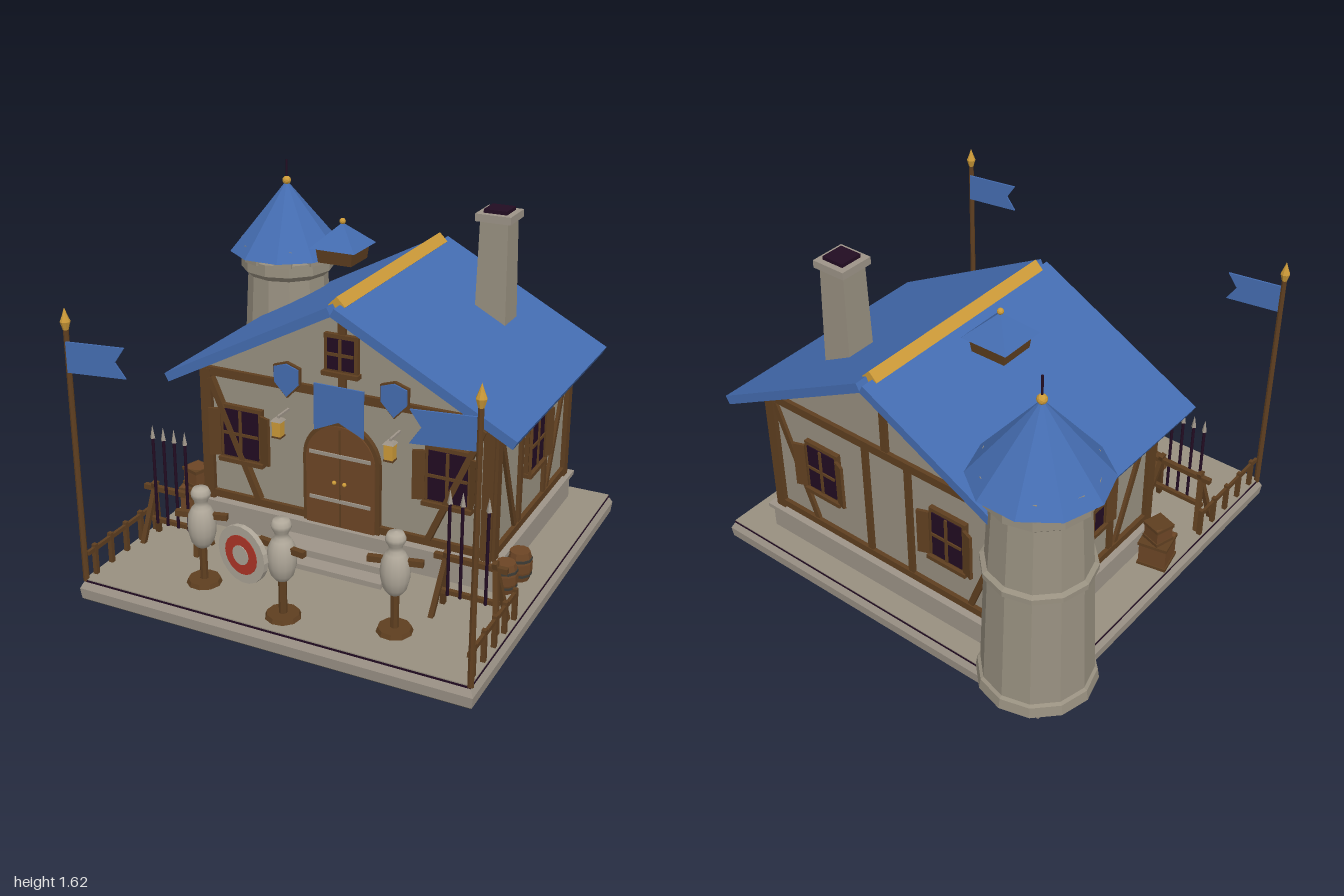
import * as THREE from 'three';

const paint = (name, color) => {
  const m = new THREE.MeshStandardMaterial({ color });
  m.name = name;
  return m;
};
const M = {
  plaster: paint('plaster', 0x989080), stone: paint('stone', 0x9d9488), wood: paint('timber', 0x5f3f20),
  door: paint('doorWood', 0x6c4525), iron: paint('iron', 0x3c3b35), blue: paint('blue', 0x446cb0),
  gold: paint('gold', 0xcc9a38), dark: paint('darkPurple', 0x220c22), red: paint('red', 0xb03628),
  linen: paint('linen', 0xaea698),
};
const CX = 0.08; // middle of the plot and house

// Adds a part with faceted normals, unless smooth
function add(parent, name, geo, mat, x = 0, y = 0, z = 0, smooth = false) {
  const g = geo.index && !smooth ? geo.toNonIndexed() : geo;
  if (!smooth) g.computeVertexNormals();
  const mesh = new THREE.Mesh(g, mat);
  mesh.name = name;
  mesh.position.set(x, y, z);
  parent.add(mesh);
  return mesh;
}
function group(parent, name, x = 0, y = 0, z = 0, ry = 0) {
  const g = new THREE.Group();
  g.name = name;
  g.position.set(x, y, z);
  g.rotation.y = ry;
  parent.add(g);
  return g;
}
const box = (w, h, d) => new THREE.BoxGeometry(w, h, d);
const cyl = (rt, rb, h, n = 8) => new THREE.CylinderGeometry(rt, rb, h, n);
const ball = r => new THREE.IcosahedronGeometry(r, 1);
// square block with sloping sides, given half widths
const taper = (t, b, h) => new THREE.CylinderGeometry(t * Math.SQRT2, b * Math.SQRT2, h, 4).rotateY(Math.PI / 4);
const lathe = (pts, n = 10) => new THREE.LatheGeometry(pts.map(p => new THREE.Vector2(...p)), n);
const plate = (pts, depth) => new THREE.ExtrudeGeometry(
  new THREE.Shape(pts.map(p => new THREE.Vector2(...p))), { depth, bevelEnabled: false });
// straight square stick between two points
function stick(parent, name, a, b, w, mat, d = w) {
  const p = new THREE.Vector3(...a), q = new THREE.Vector3(...b);
  const m = add(parent, name, box(w, p.distanceTo(q), d), mat);
  m.position.copy(p).lerp(q, 0.5);
  m.quaternion.setFromUnitVectors(new THREE.Vector3(0, 1, 0), q.sub(p).normalize());
  return m;
}

// Window with frame, panes and optional shutters, facing +z
function windowAt(parent, x, y, w, h, shutters = true) {
  const g = group(parent, 'window', x, y, 0);
  add(g, 'frame', box(w + 0.036, h + 0.036, 0.03), M.wood, 0, 0, 0.008);
  add(g, 'glass', box(w, h, 0.008), M.dark, 0, 0, 0.024);
  add(g, 'mullion', box(0.014, h, 0.008), M.wood, 0, 0, 0.03);
  add(g, 'crossbar', box(w, 0.014, 0.008), M.wood, 0, 0, 0.03);
  add(g, 'sill', box(w + 0.05, 0.02, 0.05), M.wood, 0, -h / 2 - 0.02, 0.015);
  if (shutters) for (const s of [-1, 1])
    add(g, 'shutter', box(0.055, h, 0.014), M.wood, s * (w / 2 + 0.04), -0.004, 0.036).rotation.y = -s * 0.35;
}

// Timber frame of one wall, facing +z; half = half the wall width
function timberWall(parent, name, x, z, ry, half, posts, brace, braceDepth = 0.03) {
  const g = group(parent, name, x, 0, z, ry);
  add(g, 'sillBeam', box(half * 2, 0.035, 0.03), M.wood, 0, 0.262, 0.005);
  add(g, 'topBeam', box(half * 2, 0.04, 0.03), M.wood, 0, 0.87, 0.005);
  for (const s of [-1, 1]) {
    add(g, 'cornerPost', box(0.05, 0.65, 0.03), M.wood, s * (half - 0.015), 0.555, 0.008);
    stick(g, 'brace', [s * (half - 0.04), 0.84, 0], [s * (half - brace), 0.28, 0], 0.028, M.wood, braceDepth);
    for (const p of posts) add(g, 'post', box(0.03, 0.58, 0.03), M.wood, s * p, 0.56, 0.002);
  }
  add(g, 'middleBlock', box(0.03, 0.06, 0.02), M.wood, 0, 0.87, 0);
  return g;
}

function buildHouse(root) {
  const h = group(root, 'house', CX, 0, -0.23);
  add(h, 'foundation', box(1.46, 0.14, 1.02), M.stone, 0, 0.155, 0);
  add(h, 'foundationLedge', box(1.49, 0.02, 1.055), M.stone, 0, 0.225, 0);
  add(h, 'walls', plate([[-0.7, 0.23], [0.7, 0.23], [0.7, 0.905], [0, 1.275], [-0.7, 0.905]], 0.96), M.plaster, 0, 0, -0.48);
  const front = timberWall(h, 'frontWall', 0, 0.48, 0, 0.7, [], 0.28, 0.066);
  const back = timberWall(h, 'backWall', 0, -0.48, Math.PI, 0.7, [0.12], 0.25);
  const sides = [-1, 1].map(s => timberWall(h, 'sideWall', s * 0.7, 0, s * Math.PI / 2, 0.48, [0.165], 0.27));
  for (const g of [front, back]) add(g, 'kingPost', box(0.035, 0.38, 0.03), M.wood, 0, 1.06, 0.002);
  for (const x of [-0.505, 0.505]) windowAt(front, x, 0.59, 0.18, 0.23);
  for (const x of [-0.38, 0.34]) windowAt(back, x, 0.59, 0.16, 0.23);
  sides.forEach(s => windowAt(s, 0, 0.605, 0.16, 0.23));
  windowAt(front, 0, 1.06, 0.125, 0.14, false);

  // Roof slabs and gilded ridge
  for (const s of [-1, 1])
    add(h, 'roofSlab', box(0.93, 0.042, 1.21), M.blue, s * 0.418, 1.062, -0.005).rotation.z = -s * 0.487;
  add(h, 'ridge', box(0.057, 0.057, 1.09), M.gold, 0, 1.29, -0.005).rotation.z = Math.PI / 4;

  // Arched double door
  const arch = (r, d) => {
    const s = new THREE.Shape();
    s.moveTo(-r, 0.24);
    s.lineTo(r, 0.24);
    s.absarc(0, 0.56, r, 0, Math.PI);
    s.lineTo(-r, 0.24);
    return new THREE.ExtrudeGeometry(s, { depth: d, bevelEnabled: false, curveSegments: 10 });
  };
  const door = group(front, 'door');
  add(door, 'doorFrame', arch(0.187, 0.026), M.wood);
  add(door, 'doorLeaf', arch(0.168, 0.034), M.door);
  add(door, 'doorSeam', box(0.007, 0.47, 0.006), M.wood, 0, 0.48, 0.035);
  for (const y of [0.37, 0.59]) add(door, 'strap', box(0.3, 0.016, 0.008), M.stone, 0, y, 0.037);
  for (const s of [-1, 1]) add(door, 'knob', ball(0.01), M.gold, s * 0.025, 0.46, 0.042);

  // Banner, shields and lanterns
  add(front, 'banner', plate([[-0.12, 0.92], [-0.12, 0.7], [0, 0.755], [0.12, 0.7], [0.12, 0.92]], 0.008), M.blue, 0, 0, 0.04);
  const shield = [[-1, 0.75], [-1, -0.3], [0, -1.25], [1, -0.3], [1, 0.75], [0, 1.05]];
  for (const s of [-1, 1]) {
    const sh = group(front, 'shield', s * 0.258, 0.91, 0.02);
    add(sh, 'shieldRim', plate(shield.map(p => [p[0] * 0.066, p[1] * 0.074]), 0.016), M.wood);
    add(sh, 'shieldFace', plate(shield.map(p => [p[0] * 0.06, p[1] * 0.067]), 0.008), M.blue, 0, 0, 0.015);
    const l = group(front, 'lantern', s * 0.27, 0, 0.097);
    add(l, 'lanternArm', box(0.01, 0.012, 0.1), M.stone, 0, 0.75, -0.05);
    add(l, 'lanternCap', taper(0.018, 0.026, 0.01), M.stone, 0, 0.738);
    add(l, 'lanternGlass', taper(0.021, 0.02, 0.07), M.gold, 0, 0.698);
    add(l, 'lanternFoot', box(0.044, 0.008, 0.044), M.wood, 0, 0.659);
  }

  // Chimney and roof turret
  const ch = group(h, 'chimney', 0.41, 0, -0.25);
  add(ch, 'chimneyShaft', taper(0.066, 0.077, 0.6), M.plaster, 0, 1.235);
  add(ch, 'chimneyCap', box(0.168, 0.035, 0.168), M.stone, 0, 1.537);
  add(ch, 'flue', box(0.11, 0.018, 0.11), M.dark, 0, 1.562);
  const t = group(h, 'roofTurret', -0.275, 0, -0.06);
  add(t, 'turretBody', taper(0.093, 0.084, 0.075), M.wood, 0, 1.325);
  add(t, 'turretRoof', taper(0.004, 0.115, 0.105), M.blue, 0, 1.41);
  add(t, 'turretKnob', ball(0.015), M.gold, 0, 1.472);
}

function buildTower(root) {
  const t = group(root, 'tower', -0.715, 0, -0.705);
  add(t, 'towerBody', lathe([[0, 0.09], [0.262, 0.09], [0.255, 0.14], [0.242, 0.15], [0.222, 0.7], [0.24, 0.71],
    [0.24, 0.735], [0.22, 0.745], [0.202, 1.05], [0.235, 1.08], [0.235, 1.14], [0, 1.14]], 12), M.plaster);
  for (let i = 0; i < 8; i++) {
    const a = (i + 0.5) * Math.PI / 4;
    add(t, 'merlon', box(0.09, 0.085, 0.03), M.plaster, Math.sin(a) * 0.222, 1.172, Math.cos(a) * 0.222).rotation.y = a;
  }
  add(t, 'towerRoof', cyl(0.004, 0.29, 0.345, 10).rotateY(Math.PI / 10), M.blue, 0, 1.338);
  add(t, 'towerKnob', ball(0.022), M.gold, 0, 1.515);
  add(t, 'towerSpike', cyl(0.005, 0.005, 0.11, 6), M.dark, 0, 1.565);
}

function buildDummy(root, x, z, turn) {
  const d = group(root, 'trainingDummy', x, 0, z, turn);
  add(d, 'dummyFoot', cyl(0.07, 0.078, 0.02, 10), M.wood, 0, 0.11);
  add(d, 'dummyPost', cyl(0.018, 0.018, 0.2), M.wood, 0, 0.2);
  add(d, 'dummyBody', lathe([[0, 0.272], [0.03, 0.278], [0.05, 0.305], [0.06, 0.345], [0.063, 0.385], [0.057, 0.43],
    [0.042, 0.46], [0.028, 0.475], [0.03, 0.495], [0.042, 0.515], [0.043, 0.53], [0.034, 0.55], [0, 0.558]], 14),
  M.linen, 0, 0, 0, true);
  add(d, 'dummyArms', box(0.23, 0.026, 0.026), M.wood, 0, 0.425);
}

function buildRack(root, x) {
  const r = group(root, 'weaponRack', x, 0, 0.515);
  for (const s of [-1, 1]) for (const f of [-1, 1])
    stick(r, 'rackLeg', [s * 0.145, 0.09, f * 0.065], [s * 0.105, 0.39, f * -0.008], 0.022, M.wood);
  stick(r, 'rackTopRail', [-0.16, 0.36, 0], [0.16, 0.36, 0], 0.024, M.wood);
  stick(r, 'rackLowRail', [-0.13, 0.2, 0], [0.13, 0.2, 0], 0.02, M.wood);
  for (let i = 0; i < 4; i++) {
    const sx = -0.093 + i * 0.056;
    add(r, 'spearShaft', cyl(0.007, 0.007, 0.43, 6), M.dark, sx, 0.405, 0.015);
    add(r, 'spearTip', cyl(0.001, 0.013, 0.06, 4), M.stone, sx, 0.645, 0.015);
  }
}

function buildYard(root) {
  // Plot with dark underside, bevelled edge and dark seam
  add(root, 'plotUnderside', box(1.82, 0.008, 1.82), M.iron, CX, 0.004, 0.06);
  add(root, 'plotBase', taper(0.92, 0.915, 0.05), M.stone, CX, 0.031, 0.06);
  add(root, 'plotBevel', taper(0.905, 0.92, 0.03), M.stone, CX, 0.071, 0.06);
  add(root, 'plotSeam', box(1.81, 0.012, 1.81), M.dark, CX, 0.089, 0.06);
  add(root, 'yardFloor', box(1.806, 0.006, 1.806), M.plaster, CX, 0.097, 0.06);
  add(root, 'lowerStep', box(0.59, 0.03, 0.24), M.stone, CX - 0.005, 0.11, 0.355);
  add(root, 'upperStep', box(0.51, 0.035, 0.16), M.stone, CX - 0.005, 0.14, 0.32);

  for (const s of [-1, 1]) {
    // Flagpole with swallowtail flag pointing inwards
    const f = group(root, 'flagpole', CX + s * 0.9, 0, 0.955);
    add(f, 'pole', cyl(0.012, 0.014, 1.18), M.wood, 0, 0.68);
    add(f, 'poleTip', lathe([[0, 1.245], [0.012, 1.25], [0.022, 1.285], [0.012, 1.31], [0, 1.345]], 8), M.gold);
    const flag = add(f, 'flag', plate([[-0.13, -0.067], [0.13, -0.067], [0.085, 0], [0.13, 0.067], [-0.13, 0.067]]
      .map(([x, y]) => [-s * x, y]), 0.008), M.blue, -s * 0.135, 1.138, s > 0 ? 0 : -0.008);
    flag.rotation.y = 0.17;
    // Side fence
    const fence = group(root, 'fence', CX + s * 0.885, 0, 0);
    for (let i = 0; i < 5; i++) add(fence, 'fencePost', box(0.02, 0.15, 0.02), M.wood, 0, 0.17, 0.44 + i * 0.115);
    add(fence, 'fenceRail', box(0.014, 0.02, 0.52), M.wood, 0, 0.222, 0.69);
    buildRack(root, CX + s * 0.715);
  }

  buildDummy(root, -0.343, 0.75, 0.25);
  buildDummy(root, 0.1, 0.845, -0.15);
  buildDummy(root, 0.56, 0.74, 0.22);

  // Archery target, rings stacked on the front face only
  const target = group(root, 'target', -0.035, 0.4, 0.925, -0.22);
  [[0.127, M.linen], [0.087, M.red], [0.043, M.linen]].forEach(([r, mat], i) =>
    add(target, 'targetRing', cyl(r, r, i ? 0.004 : 0.024, 20).rotateX(Math.PI / 2), mat, 0, 0, i ? 0.01 + i * 0.003 : 0));

  // Barrels and crates beside the house
  for (const [x, z] of [[0.865, 0.11], [0.845, 0.235]]) {
    const b = group(root, 'barrel', x, 0.095, z);
    add(b, 'barrelBody', lathe([[0, 0], [0.045, 0], [0.057, 0.05], [0.057, 0.09], [0.045, 0.14], [0, 0.14]]), M.door);
    for (const y of [0.035, 0.105]) add(b, 'barrelHoop', cyl(0.056, 0.056, 0.012, 10), M.iron, 0, y);
  }
  for (const [size, y, turn] of [[0.13, 0.1, 0.2], [0.09, 0.23, -0.3]]) {
    const c = group(root, 'crate', -0.74, y + size / 2, 0.17, turn);
    add(c, 'crateBox', box(size, size, size), M.door);
    for (const s of [-1, 1]) add(c, 'crateBand', box(size + 0.01, 0.016, size + 0.01), M.wood, 0, s * (size / 2 - 0.008));
  }
}

export function createModel() {
  const root = new THREE.Group();
  root.name = 'trainingBarracks';
  buildYard(root);
  buildHouse(root);
  buildTower(root);
  return root;
}
